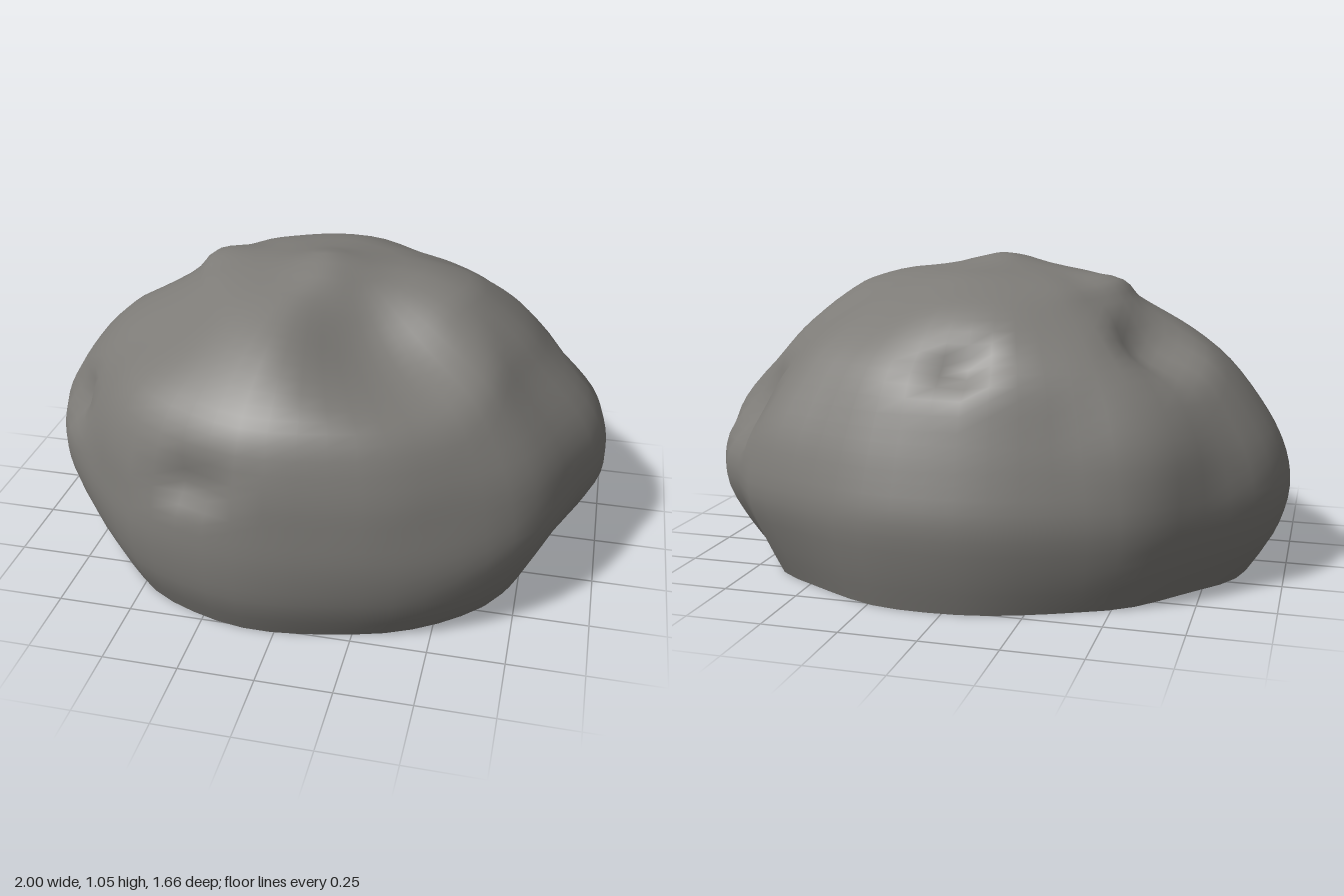
import * as THREE from 'three';

// Widest outline seen from above: [x, z], going from +x towards +z
const OUTLINE = [
  [1, 0], [0.92, 0.2], [0.86, 0.36], [0.79, 0.48], [0.62, 0.62], [0.4, 0.75], [0.2, 0.8],
  [-0.1, 0.83], [-0.33, 0.78], [-0.5, 0.7], [-0.65, 0.56], [-0.79, 0.4], [-0.93, 0.21],
  [-1, 0], [-0.99, -0.13], [-0.94, -0.27], [-0.8, -0.43], [-0.6, -0.63], [-0.43, -0.71],
  [-0.13, -0.81], [0.1, -0.83], [0.25, -0.82], [0.5, -0.73], [0.73, -0.62], [0.83, -0.47],
  [0.93, -0.36], [0.985, -0.22],
];

// Height, then outline scale towards -x, +x, +z, -z
const LEVELS = [
  [0, 0.88, 0.83, 0.92, 0.94], [0.13, 0.96, 0.91, 0.98, 0.98], [0.28, 1, 0.99, 1, 1],
  [0.42, 0.98, 0.99, 0.99, 0.96], [0.55, 0.91, 0.93, 0.97, 0.91], [0.7, 0.79, 0.79, 0.91, 0.84],
  [0.8, 0.66, 0.7, 0.8, 0.74], [0.9, 0.48, 0.58, 0.62, 0.6], [0.96, 0.4, 0.48, 0.44, 0.45],
  [1, 0.22, 0.3, 0.25, 0.27], [1.01, 0, 0, 0, 0],
];

// Craters (positive depth) and swellings (negative depth): centre, radius, depth
const MARKS = [
  { at: [0.29, 0.89, 0.38], r: 0.4, depth: 0.125 },
  { at: [-0.57, 0.77, -0.25], r: 0.22, depth: 0.085 },
  { at: [-0.02, 0.73, -0.63], r: 0.14, depth: 0.065 },
  { at: [-0.27, 0.53, 0.79], r: 0.14, depth: 0.06 },
  { at: [0.81, 0.54, -0.36], r: 0.22, depth: 0.09 },
  { at: [-0.87, 0.5, 0.24], r: 0.17, depth: 0.06 },
  { at: [0.35, 0.93, -0.33], r: 0.35, depth: 0.03 },
  { at: [-0.55, 0.64, 0.52], r: 0.32, depth: -0.035 },
  { at: [-0.62, 0.55, -0.5], r: 0.3, depth: -0.035 },
  { at: [0.62, 0.12, 0.6], r: 0.42, depth: -0.04 },
  { at: [0.9, 0.18, -0.33], r: 0.33, depth: -0.025 },
  { at: [0.03, 1.01, 0.06], r: 0.22, depth: -0.04 },
  { at: [-0.39, 0.95, -0.08], r: 0.16, depth: -0.022 },
];

const SIDES = 56, RINGS = 34;
const CORE = new THREE.Vector3(0, 0.35, 0);

// Blend the level table smoothly at t = 0..1
function levelAt(t) {
  const f = t * (LEVELS.length - 1), i = Math.min(Math.floor(f), LEVELS.length - 2), u = f - i;
  const row = k => LEVELS[Math.max(0, Math.min(k, LEVELS.length - 1))];
  return LEVELS[0].map((_, c) => {
    const [a, b, d, e] = [i - 1, i, i + 1, i + 2].map(k => row(k)[c]);
    return b + 0.5 * u * (d - a + u * (2 * a - 5 * b + 4 * d - e + u * (3 * (b - d) + e - a)));
  });
}

// Press each mark in or out along its own axis
function carve(p) {
  const moved = p.clone();
  for (const { at, r, depth } of MARKS) {
    const centre = new THREE.Vector3(...at);
    const d = Math.min(1, p.distanceTo(centre) / r);
    const dent = depth * (0.5 + 0.5 * Math.cos(Math.PI * d));
    moved.addScaledVector(centre.sub(CORE).normalize(), -dent);
  }
  return moved;
}

function meshFrom(name, points, index, color) {
  const geo = new THREE.BufferGeometry().setFromPoints(points);
  geo.setIndex(index);
  geo.computeVertexNormals();
  const mesh = new THREE.Mesh(geo, new THREE.MeshStandardMaterial({ color }));
  mesh.name = name;
  return mesh;
}

export function createModel() {
  const group = new THREE.Group();
  group.name = 'crateredRock';
  const outline = new THREE.CatmullRomCurve3(
    OUTLINE.map(([x, z]) => new THREE.Vector3(x, 0, z)), true).getSpacedPoints(SIDES).slice(0, SIDES);

  // Rock body: stacked rings closing at the top
  const points = [], index = [];
  for (let i = 0; i < RINGS; i++) {
    const [y, xNeg, xPos, zPos, zNeg] = levelAt(i / RINGS);
    for (const o of outline) {
      const c2 = o.x * o.x / (o.x * o.x + o.z * o.z);
      const s = c2 * (o.x < 0 ? xNeg : xPos) + (1 - c2) * (o.z < 0 ? zNeg : zPos);
      const p = carve(new THREE.Vector3(o.x * s, y, o.z * s));
      if (i === 0) p.y = 0;
      points.push(p);
    }
  }
  const top = points.push(carve(new THREE.Vector3(0, 1.01, 0))) - 1;
  for (let i = 0; i < RINGS; i++) {
    for (let j = 0; j < SIDES; j++) {
      const a = i * SIDES + j, b = i * SIDES + (j + 1) % SIDES;
      if (i === RINGS - 1) index.push(a, top, b);
      else index.push(a, a + SIDES, b, b, a + SIDES, b + SIDES);
    }
  }
  group.add(meshFrom('rockBody', points, index, 0x7d7b77));

  // Flat underside
  const base = [...points.slice(0, SIDES), new THREE.Vector3()];
  const fan = [];
  for (let j = 0; j < SIDES; j++) fan.push(SIDES, j, (j + 1) % SIDES);
  group.add(meshFrom('flatBase', base, fan, 0x55524e));
  return group;
}
